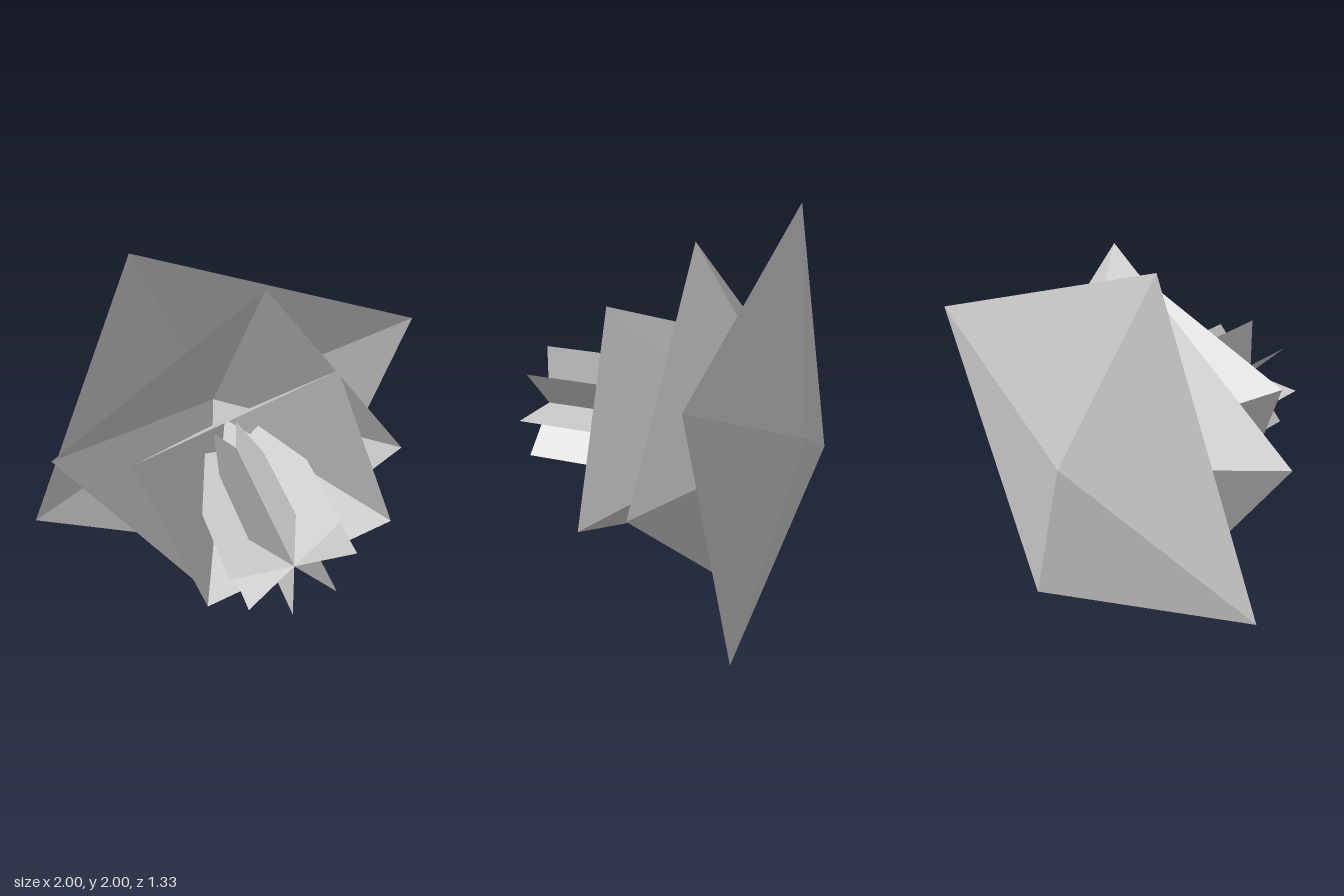
import * as THREE from 'three';

const material = new THREE.MeshStandardMaterial({
  color: 0xcccccc, flatShading: true, side: THREE.DoubleSide,
});

// Open four-sided petal ring: square rim at the front, apex pointing back
function petalRing(name, { centre, radius, angle, rimZ, apex }) {
  const corner = (i) => {
    const a = angle + (i * Math.PI) / 2;
    return [centre[0] + radius * Math.cos(a), centre[1] + radius * Math.sin(a), rimZ];
  };
  const points = [];
  for (let i = 0; i < 4; i++) points.push(...corner(i + 1), ...corner(i), ...apex);
  const geometry = new THREE.BufferGeometry();
  geometry.setAttribute('position', new THREE.Float32BufferAttribute(points, 3));
  geometry.computeVertexNormals();
  const mesh = new THREE.Mesh(geometry, material);
  mesh.name = name;
  return mesh;
}

// Crossed flat blades around the z axis, tapering towards the back
function createStamens() {
  const group = new THREE.Group();
  group.name = 'stamens';
  const outline = [[0.16, -0.235], [0.293, 0.21], [0.293, 0.667]];
  const mirrored = outline.map(([r, z]) => [-r, z]).reverse();
  const shape = new THREE.Shape([...outline, ...mirrored].map(([r, z]) => new THREE.Vector2(r, z)));
  const geometry = new THREE.ShapeGeometry(shape).rotateX(Math.PI / 2);
  for (let i = 0; i < 4; i++) {
    const blade = new THREE.Mesh(geometry, material);
    blade.name = `stamenBlade${i + 1}`;
    blade.rotation.z = (i * Math.PI) / 4;
    group.add(blade);
  }
  group.position.y = 0.993;
  return group;
}

export function createModel() {
  const model = new THREE.Group();
  model.name = 'flower';
  const deg = THREE.MathUtils.degToRad;
  model.add(
    petalRing('innerPetals', {
      centre: [0.047, 0.988], radius: 0.71, angle: deg(63.8), rimZ: 0.158, apex: [0.01, 1.005, -0.475],
    }),
    petalRing('middlePetals', {
      centre: [-0.025, 1.01], radius: 0.898, angle: deg(80.4), rimZ: -0.167, apex: [0, 1.005, -0.662],
    }),
    petalRing('outerPetals', {
      centre: [0, 1.002], radius: 1.085, angle: deg(23), rimZ: -0.475, apex: [0, 1.002, -0.667],
    }),
    createStamens(),
  );
  return model;
}
